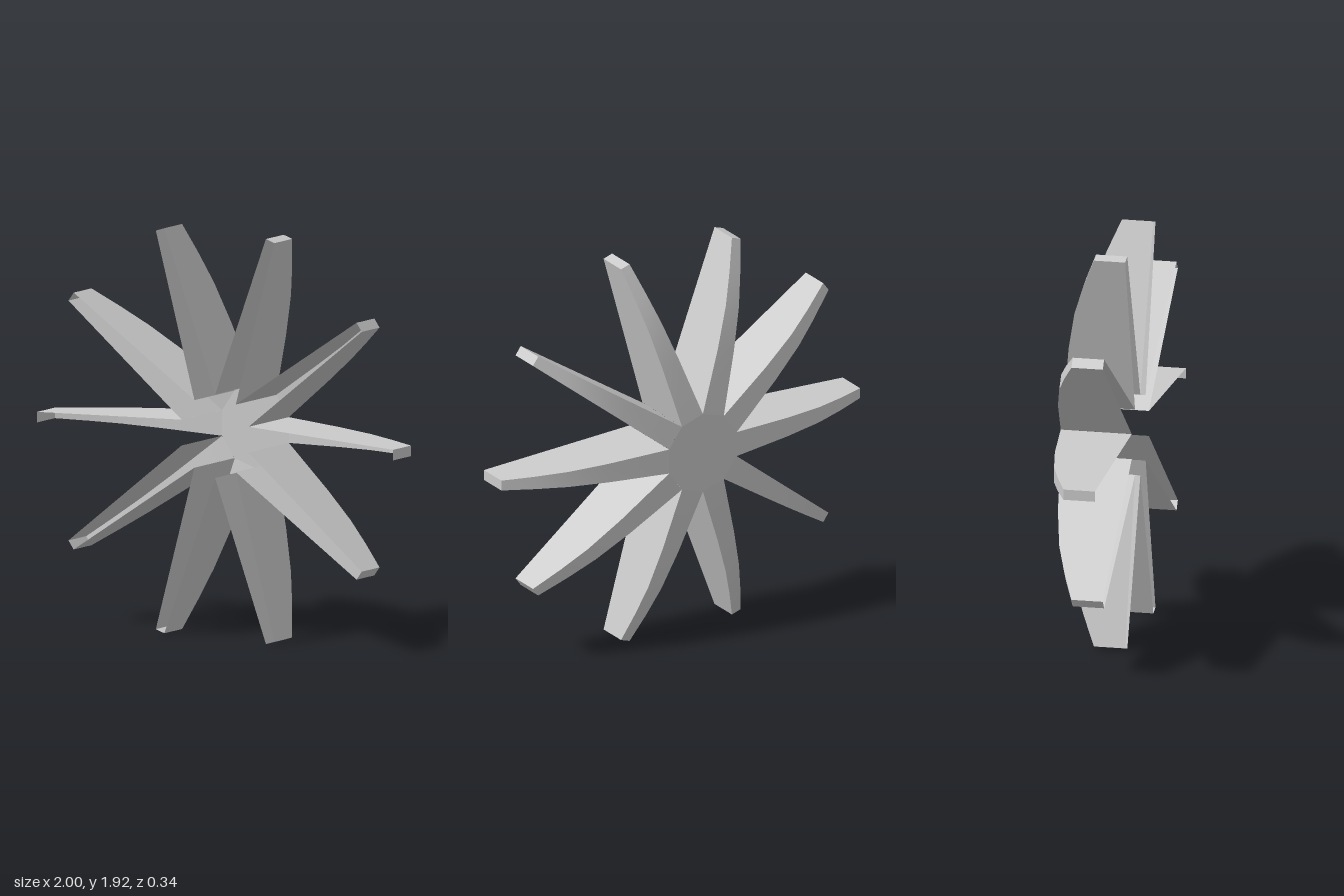
import * as THREE from 'three';

const SPOKES = 10;
const FRONT = 0.17;
const CENTRE_Y = 0.96;
// Distance from the centre and depth of the domed back, from root to tip
const PROFILE = [[0.188, -0.17], [0.5, -0.13], [0.7, -0.09], [0.85, -0.04], [1, 0.02]];

const material = new THREE.MeshStandardMaterial({ color: 0xcccccc, side: THREE.DoubleSide });

// Half the spoke's width, tapering towards the tip
const halfWidth = r => THREE.MathUtils.mapLinear(r, 0.188, 1, 0.061, 0.025);

// Surface between two rows of points
function ribbon(name, rowA, rowB) {
  const points = [...rowA, ...rowB];
  const n = rowA.length;
  const index = [];
  for (let i = 0; i < n - 1; i++) {
    index.push(i, i + 1, n + i, i + 1, n + i + 1, n + i);
  }
  const geometry = new THREE.BufferGeometry();
  geometry.setAttribute('position', new THREE.Float32BufferAttribute(points.flat(), 3));
  geometry.setIndex(index);
  geometry.computeVertexNormals();
  const mesh = new THREE.Mesh(geometry, material);
  mesh.name = name;
  return mesh;
}

// One hollow spoke along +x, open at the front
function createSpoke(upperWall, lowerWall) {
  const spoke = new THREE.Group();
  spoke.name = 'spoke';
  const edge = side => PROFILE.map(([r, z]) => [r, side * halfWidth(r), z]);
  const rim = side => PROFILE.map(([r]) => [r, side * halfWidth(r), FRONT]);
  const upper = edge(1), lower = edge(-1);

  spoke.add(ribbon('spokeBack', upper, lower).rotateX(0));
  if (upperWall) spoke.add(ribbon('spokeUpperWall', rim(1), upper));
  if (lowerWall) spoke.add(ribbon('spokeLowerWall', lower, rim(-1)));

  // Tip cap
  const w = halfWidth(1), tipZ = PROFILE[PROFILE.length - 1][1];
  spoke.add(ribbon('spokeTip', [[1, -w, FRONT], [1, -w, tipZ]], [[1, w, FRONT], [1, w, tipZ]]));
  return spoke;
}

// Flat decagon at the back that joins the spokes
function createHub() {
  const [r, z] = PROFILE[0];
  const geometry = new THREE.CircleGeometry(Math.hypot(r, halfWidth(r)), SPOKES, Math.PI / SPOKES);
  geometry.rotateX(Math.PI);
  geometry.translate(0, 0, z);
  const hub = new THREE.Mesh(geometry, material);
  hub.name = 'hub';
  return hub;
}

export function createModel() {
  const model = new THREE.Group();
  model.name = 'spokedStar';
  const star = new THREE.Group();
  star.name = 'star';
  star.position.y = CENTRE_Y;
  star.add(createHub());
  for (let i = 0; i < SPOKES; i++) {
    // The two level spokes are open on their underside
    const spoke = createSpoke(i !== SPOKES / 2, i !== 0);
    spoke.rotation.z = (i * Math.PI * 2) / SPOKES;
    star.add(spoke);
  }
  model.add(star);
  return model;
}
